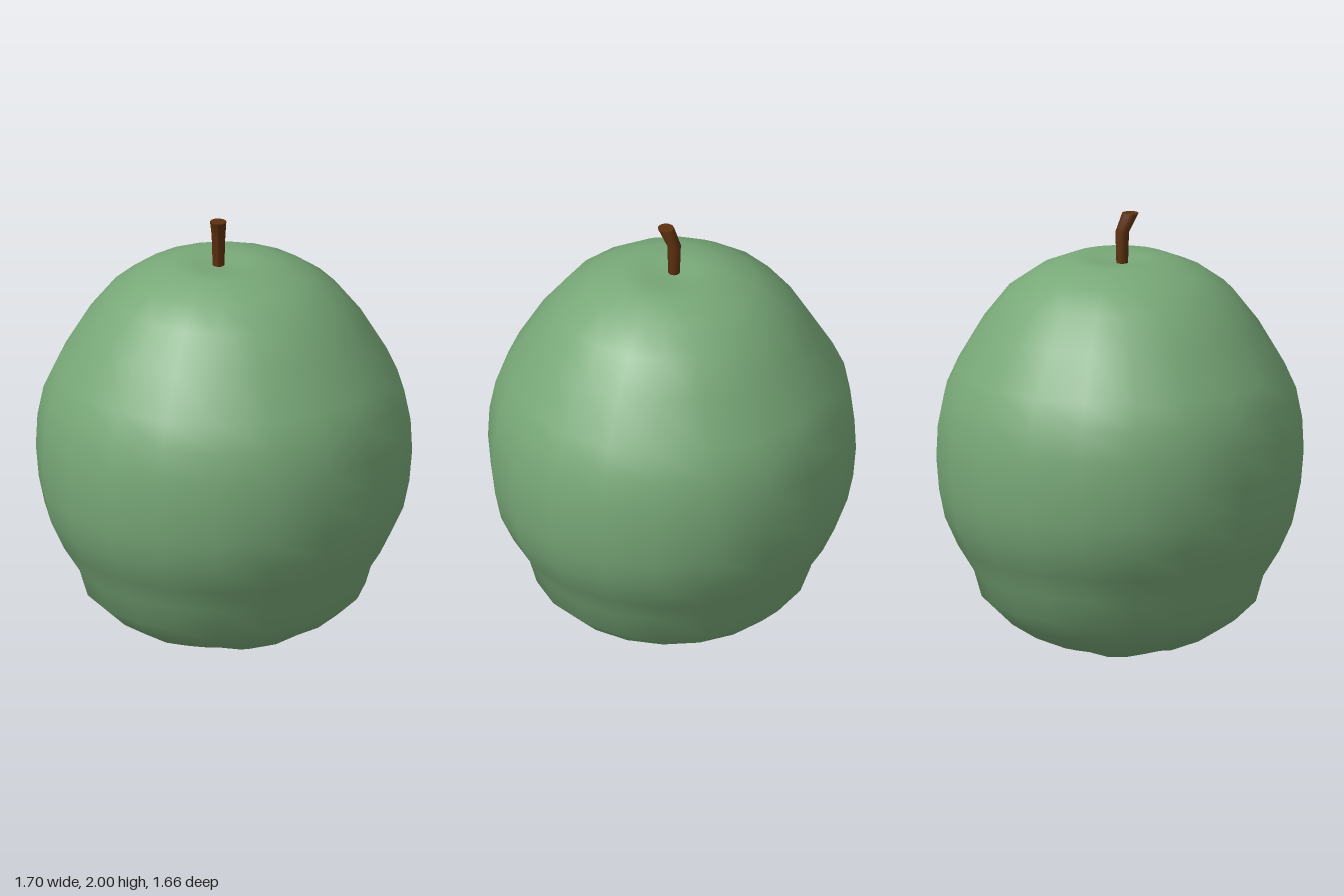
import * as THREE from 'three';
import { mergeVertices } from 'three/addons/utils/BufferGeometryUtils.js';

const SIDES = 20;

// Rebuild smooth normals across the seam of a revolved shape
function smooth(geometry) {
  geometry.deleteAttribute('uv');
  geometry.deleteAttribute('normal');
  const merged = mergeVertices(geometry, 1e-4);
  merged.computeVertexNormals();
  return merged;
}

// Fruit body: revolved profile, slightly flattened in z, with five folds underneath
function makeBody() {
  const profile = [
    [0, 0.1], [0.08, 0.07], [0.17, 0.02], [0.275, 0], [0.42, 0.06], [0.54, 0.135],
    [0.64, 0.23], [0.675, 0.35], [0.75, 0.47], [0.81, 0.6], [0.837, 0.73], [0.85, 0.88],
    [0.843, 1.03], [0.815, 1.17], [0.76, 1.29], [0.64, 1.49], [0.52, 1.64], [0.39, 1.73],
    [0.24, 1.79], [0.13, 1.784], [0.05, 1.773], [0, 1.772],
  ].map(([r, y]) => new THREE.Vector2(r, y));
  const geometry = new THREE.LatheGeometry(profile, SIDES);
  const pos = geometry.attributes.position;
  for (let i = 0; i < pos.count; i++) {
    const x = pos.getX(i), y = pos.getY(i), z = pos.getZ(i);
    const r = Math.hypot(x, z);
    // Folds fade out towards the centre and the lower shoulder
    if (y < 0.2 && r > 0.05 && r < 0.5) {
      const fold = Math.max(0, Math.cos(5 * Math.atan2(x, z) + 0.6));
      const depth = r < 0.12 ? 0.02 : r < 0.2 ? 0.04 : 0.016;
      pos.setY(i, y + depth * fold);
    }
    pos.setZ(i, z * 0.977);
  }
  const mesh = new THREE.Mesh(smooth(geometry), new THREE.MeshStandardMaterial({ color: 0x78a878 }));
  mesh.name = 'fruitBody';
  return mesh;
}

// Stem: a cylinder whose rings are widened and leaned forward at the top
function makeStem() {
  const rings = [
    { y: 1.75, z: 0, r: 0.026 },
    { y: 1.915, z: 0, r: 0.031 },
    { y: 2, z: 0.04, r: 0.037 },
  ];
  const geometry = new THREE.CylinderGeometry(1, 1, 2, 12, 2);
  const pos = geometry.attributes.position;
  for (let i = 0; i < pos.count; i++) {
    const ring = rings[Math.round(pos.getY(i) + 1)];
    pos.setXYZ(i, pos.getX(i) * ring.r - 0.025, ring.y, pos.getZ(i) * ring.r + ring.z);
  }
  geometry.computeVertexNormals();
  const mesh = new THREE.Mesh(geometry, new THREE.MeshStandardMaterial({ color: 0x5c300e }));
  mesh.name = 'stem';
  return mesh;
}

export function createModel() {
  const group = new THREE.Group();
  group.name = 'fruit';
  group.add(makeBody(), makeStem());
  return group;
}
